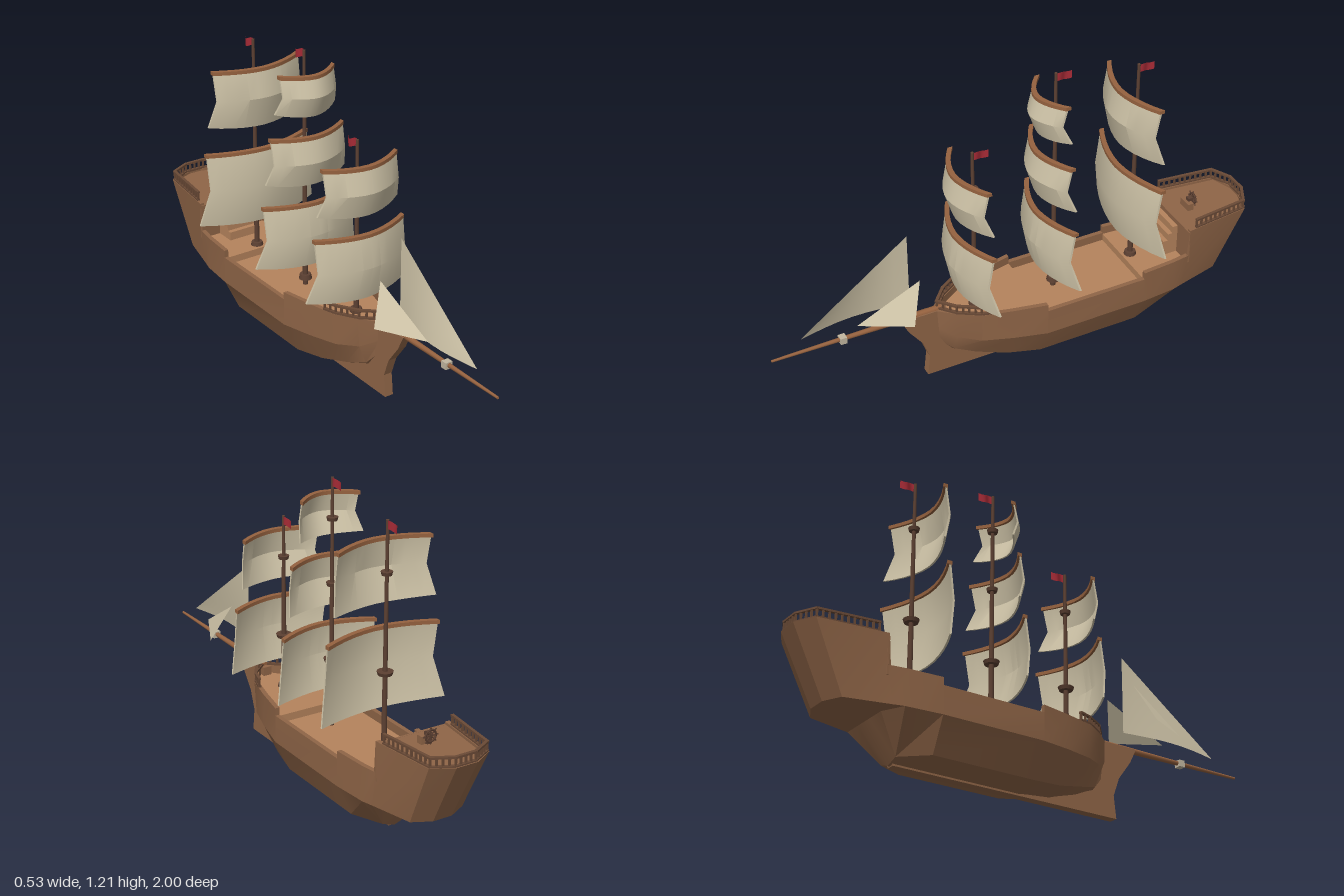
import * as THREE from 'three';
import { toCreasedNormals } from 'three/addons/utils/BufferGeometryUtils.js';

const mat = (color) => new THREE.MeshStandardMaterial({ color, side: THREE.DoubleSide });
const HULL = mat(0x8f6547), DECK = mat(0xb5835c), SPAR = mat(0x5c4032), YARD = mat(0x96623f),
  SAIL = mat(0xcfc4a8), FLAG = mat(0xa52a35), RAIL = mat(0x6a4a36), BAND = mat(0xc2b7a0);

function add(parent, name, geo, material, x = 0, y = 0, z = 0) {
  const m = new THREE.Mesh(geo, material);
  m.name = name;
  m.position.set(x, y, z);
  parent.add(m);
  return m;
}

// Skin a list of equally long rows of [x, y, z] points
function loft(rows, crease = 0.35) {
  const n = rows[0].length, index = [];
  for (let i = 0; i < rows.length - 1; i++) {
    for (let j = 0; j < n - 1; j++) {
      const a = i * n + j, c = a + n;
      index.push(a, a + 1, c, a + 1, c + 1, c);
    }
  }
  const g = new THREE.BufferGeometry();
  g.setAttribute('position', new THREE.Float32BufferAttribute(rows.flat(2), 3));
  g.setIndex(index);
  return toCreasedNormals(g, crease);
}

const cyl = (r0, r1, h, n = 10) => new THREE.CylinderGeometry(r0, r1, h, n);
const box = (x, y, z) => new THREE.BoxGeometry(x, y, z);

// Hull stations, bow to stern: z, half width, top, deck, knuckle, chine, keel height
const mid = [0.177, 0.16], chine = [0.115, 0.03];
const stations = [
  [0.345, 0.015, 0.3, 0.265, [0.012, 0.22], [0.01, 0.17], 0.15],
  [0.28, 0.07, 0.3, 0.265, [0.06, 0.18], [0.03, 0.1], 0.08],
  [0.2, 0.12, 0.3, 0.265, [0.112, 0.17], [0.06, 0.075], 0.05],
  [0.08, 0.15, 0.3, 0.265, [0.148, 0.165], [0.09, 0.045], 0.015],
  [-0.05, 0.177, 0.3, 0.265, mid, chine, 0.003],
  [-0.05, 0.177, 0.27, 0.235, mid, chine, 0.003],
  [-0.475, 0.177, 0.27, 0.235, mid, chine, 0.003],
  [-0.475, 0.177, 0.3, 0.265, mid, chine, 0.003],
  [-0.61, 0.168, 0.3, 0.265, [0.165, 0.16, -0.62], [0.05, 0.02, -0.585], 0.003],
  [-0.685, 0.157, 0.3, 0.265, [0.153, 0.16, -0.665], [0.08, 0.16, -0.665], 0.16],
  [-0.685, 0.157, 0.42, 0.41, [0.153, 0.16, -0.665], [0.08, 0.16, -0.665], 0.16],
  [-0.955, 0.127, 0.42, 0.41, [0.112, 0.16, -0.835], [0.06, 0.16, -0.835], 0.16],
  [-1.0, 0.045, 0.42, 0.41, [0.04, 0.16, -0.872], [0.02, 0.16, -0.872], 0.16],
  [-1.0, 0, 0.42, 0.41, [0, 0.16, -0.872], [0, 0.16, -0.872], 0.16],
];

function buildHull(ship) {
  const inner = (w) => Math.max(w - 0.018, 0);
  const aft = (z) => Math.max(z, -0.985);
  const rows = stations.map(([z, w, top, deck, m, c, ky]) => {
    const half = [[inner(w), deck, aft(z)], [inner(w), top, aft(z)], [w, top, z],
      [m[0], m[1], m[2] ?? z], [c[0], c[1], c[2] ?? z]];
    const other = half.map(([x, y, pz]) => [-x, y, pz]).reverse();
    return [...half, [0, ky, c[2] ?? z], ...other];
  });
  add(ship, 'hull', loft(rows), HULL);
  const deckRows = (list) => list.map(([z, w, , d]) => [[-inner(w), d, aft(z)], [inner(w), d, aft(z)]]);
  add(ship, 'mainDeck', loft(deckRows(stations.slice(0, 10))), DECK);
  add(ship, 'poopDeck', loft(deckRows(stations.slice(10))), HULL);
  add(ship, 'poopBulkhead', box(0.31, 0.145, 0.008), HULL, 0, 0.338, -0.686);

  // Stem and keel, one thin slab
  const pts = [[0.49, 0.3], [0.46, 0.24], [0.405, 0.165], [0.378, 0.09], [0.388, 0], [-0.575, 0],
    [-0.58, 0.02], [0, 0.03], [0.25, 0.1], [0.3, 0.26], [0.3, 0.3]];
  const keel = new THREE.ExtrudeGeometry(new THREE.Shape(pts.map((p) => new THREE.Vector2(...p))),
    { depth: 0.036, bevelEnabled: false });
  keel.rotateY(-Math.PI / 2).translate(0.018, 0, 0);
  add(ship, 'stemAndKeel', keel, HULL);
}

// Railing along [x, z] points: two bars on evenly spaced posts
function railing(ship, name, path, y0, y1) {
  const g = new THREE.Group();
  g.name = name;
  ship.add(g);
  for (let i = 0; i < path.length - 1; i++) {
    const [ax, az] = path[i], [bx, bz] = path[i + 1];
    const len = Math.hypot(bx - ax, bz - az), n = Math.max(2, Math.round(len / 0.024));
    for (const y of [y0 + 0.004, y1 - 0.004]) {
      const bar = add(g, 'railBar', box(0.012, 0.008, len + 0.008), RAIL, (ax + bx) / 2, y, (az + bz) / 2);
      bar.rotation.y = Math.atan2(bx - ax, bz - az);
    }
    for (let k = 0; k <= n; k++) {
      const t = k / n;
      add(g, 'railPost', box(0.007, y1 - y0, 0.007), RAIL, ax + (bx - ax) * t, (y0 + y1) / 2, az + (bz - az) * t);
    }
  }
}

// Square sail and yard: boxes bent back at the ends, bellied forward at mid height
function squareSail(ship, mastZ, topW, botW, yTop, yMid, yBot) {
  const sweep = (u) => 0.065 * Math.abs(u) ** 1.8;
  const sail = new THREE.BoxGeometry(2, 2, 0.008, 10, 2, 1), p = sail.attributes.position;
  for (let i = 0; i < p.count; i++) {
    const u = p.getX(i), v = p.getY(i);
    const low = v < -0.5, high = v > 0.5;
    const w = low ? botW : high ? topW : topW * 0.985;
    const y = low ? yBot + 0.012 * u * u : high ? yTop : yMid;
    const z = low ? 0.068 : high ? 0.08 : 0.1;
    p.setXYZ(i, u * w, y, mastZ + z - sweep(u) + p.getZ(i));
  }
  add(ship, 'squareSail', toCreasedNormals(sail, 0.4), SAIL);
  const yard = new THREE.BoxGeometry(2, 0.014, 0.02, 10, 1, 1), q = yard.attributes.position;
  for (let i = 0; i < q.count; i++) {
    const u = q.getX(i);
    q.setXYZ(i, u * (topW + 0.002), yTop + q.getY(i), mastZ + 0.077 - sweep(u) + q.getZ(i));
  }
  add(ship, 'yard', toCreasedNormals(yard, 0.4), YARD);
}

function buildMast(ship, { z, top, rings, sails }) {
  add(ship, 'mast', cyl(0.006, 0.011, top - 0.23), SPAR, 0, (top + 0.23) / 2, z);
  add(ship, 'mastFoot', cyl(0.022, 0.026, 0.02, 12), SPAR, 0, 0.27, z);
  rings.forEach((y, i) => {
    const r = i === 0 ? 0.031 : 0.022;
    add(ship, 'mastTop', cyl(r, r * 0.85, 0.014, 12), SPAR, 0, y, z);
  });
  sails.forEach((s) => squareSail(ship, z, ...s));
  // Waving pennant streaming aft
  const rows = [0, 1, 2, 3, 4, 5, 6].map((k) => {
    const x = 0.006 * Math.sin(k * 1.2), dy = 0.005 * Math.sin(k * 1.1), pz = z - k * 0.0105;
    return [[x, top - 0.004 + dy, pz], [x, top - 0.036 + dy, pz]];
  });
  add(ship, 'pennant', loft(rows, 1), FLAG);
}

function buildBow(ship) {
  const sprit = add(ship, 'bowsprit', cyl(0.005, 0.014, 0.68), SPAR, 0, 0.298, 0.66);
  sprit.rotation.x = Math.PI / 2;
  sprit.material = YARD;
  add(ship, 'bowspritBand', box(0.03, 0.027, 0.026), BAND, 0, 0.296, 0.72);

  // Large headsail, bulging to one side
  const rows = [];
  for (let k = 0; k <= 8; k++) {
    const t = k / 8, z = 0.885 - 0.44 * t;
    rows.push([[-0.03 * Math.sin(Math.PI * t), 0.355 + 0.01 * t, z],
      [-0.018 * Math.sin(Math.PI * t), 0.355 + 0.165 * t, z], [0, 0.355 + 0.325 * t, z]]);
  }
  add(ship, 'headsail', loft(rows, 0.6), SAIL);
  // Pair of small headsails
  for (const s of [1, -1]) {
    const a = [s * 0.083, 0.53, 0.435], b = [s * 0.15, 0.38, 0.49], c = [s * 0.055, 0.385, 0.68];
    add(ship, 'smallHeadsail', loft([[a, b], [a, c]]), SAIL);
  }
}

function buildDeckFittings(ship) {
  // Stairs to the poop
  for (let i = 0; i < 4; i++) {
    const h = 0.035 + i * 0.03, front = -0.6 - i * 0.02, depth = front + 0.686;
    add(ship, 'stair', box(0.14, h, depth), DECK, 0, 0.265 + h / 2, front - depth / 2);
  }
  // Steering wheel on its stand
  add(ship, 'wheelStand', box(0.06, 0.03, 0.025), HULL, 0, 0.425, -0.765);
  add(ship, 'wheelPost', box(0.02, 0.045, 0.02), SPAR, 0, 0.43, -0.775);
  add(ship, 'wheelRim', new THREE.TorusGeometry(0.022, 0.004, 6, 16), SPAR, 0, 0.443, -0.79);
  for (let i = 0; i < 4; i++) {
    add(ship, 'wheelSpoke', box(0.064, 0.004, 0.004), SPAR, 0, 0.443, -0.79).rotation.z = i * Math.PI / 4;
  }
  railing(ship, 'bowRailing', [[0.127, 0.15], [0.112, 0.2], [0.063, 0.28], [0, 0.335],
    [-0.063, 0.28], [-0.112, 0.2], [-0.127, 0.15]], 0.3, 0.338);
  railing(ship, 'sternRailing', [[0.145, -0.72], [0.119, -0.95], [0.042, -0.99],
    [-0.042, -0.99], [-0.119, -0.95], [-0.145, -0.72]], 0.418, 0.46);
}

export function createModel() {
  const ship = new THREE.Group();
  ship.name = 'sailingShip';
  buildHull(ship);
  buildDeckFittings(ship);
  buildBow(ship);
  const lower = [0.2, 0.23, 0.615, 0.49, 0.355], upper = [0.163, 0.18, 0.885, 0.79, 0.692];
  buildMast(ship, { z: 0.175, top: 0.965, rings: [0.48, 0.8], sails: [lower, upper] });
  buildMast(ship, { z: -0.163, top: 1.205, rings: [0.5, 0.8, 1.05],
    sails: [lower, upper, [0.12, 0.135, 1.125, 1.05, 0.967]] });
  buildMast(ship, { z: -0.51, top: 1.145, rings: [0.575, 0.95],
    sails: [[0.234, 0.265, 0.717, 0.575, 0.41], [0.194, 0.214, 1.05, 0.94, 0.815]] });
  return ship;
}
